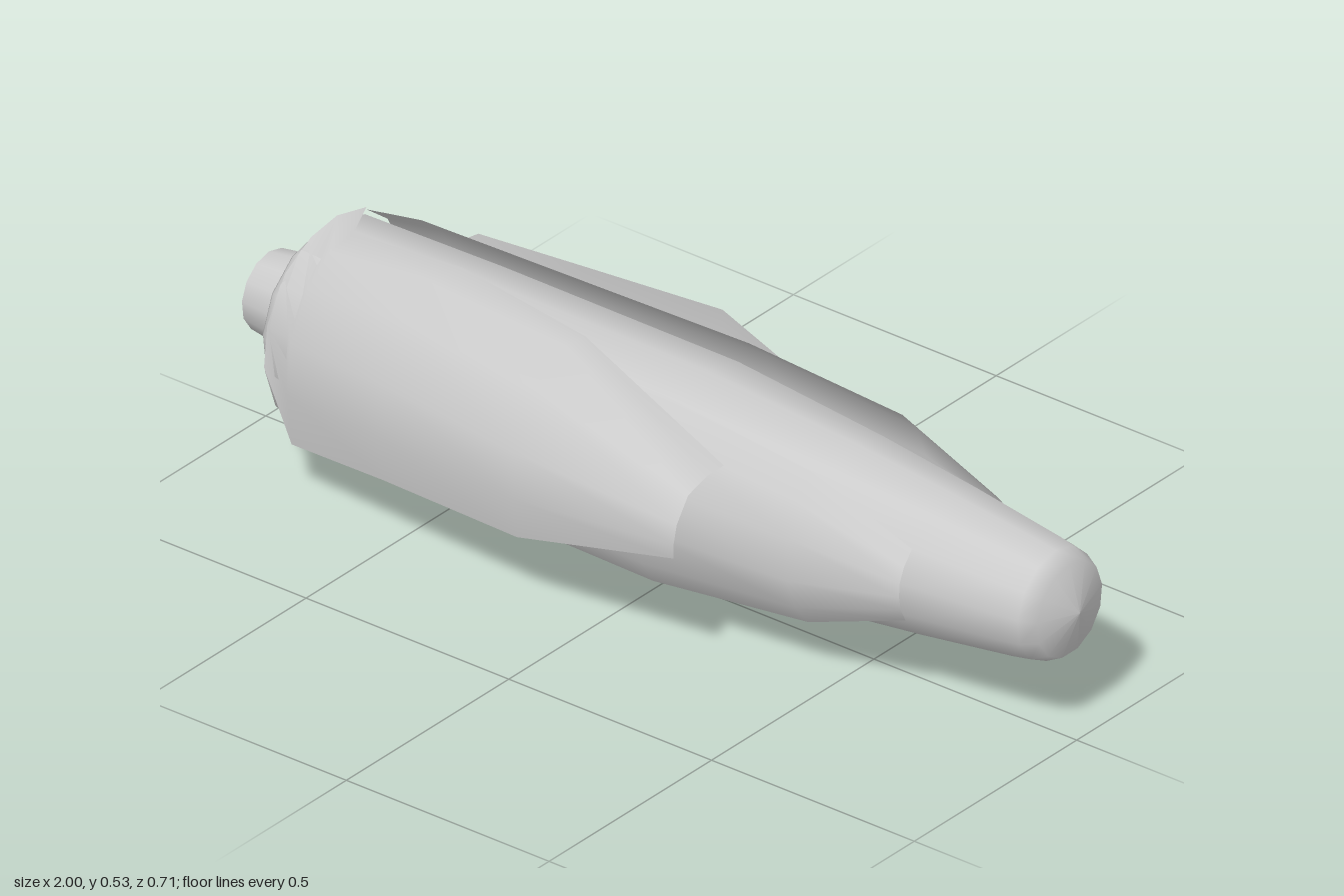
import * as THREE from 'three';

const CY = 0.28, CZ = -0.01; // long axis of the cob

export function createModel() {
  const group = new THREE.Group();
  const solid = new THREE.MeshStandardMaterial({ color: 0xcccccc });
  const thin = new THREE.MeshStandardMaterial({ color: 0xcccccc, side: THREE.DoubleSide });

  // Solid of revolution along x; profile is [x, radius]
  function revolve(name, profile) {
    const points = profile.map(([x, r]) => new THREE.Vector2(r, x));
    const geo = new THREE.LatheGeometry(points, 13, -Math.PI / 2, Math.PI * 2);
    geo.rotateZ(-Math.PI / 2);
    const mesh = new THREE.Mesh(geo, solid);
    mesh.name = name;
    mesh.position.set(0, CY, CZ);
    group.add(mesh);
  }

  // Thin leaf lofted through open cross-sections [x, [[z, y], ...]]
  function leaf(name, sections) {
    const pos = [], index = [], n = sections[0][1].length;
    sections.forEach(([x, pts]) => pts.forEach(([z, y]) => pos.push(x, y, z)));
    for (let i = 0; i < sections.length - 1; i++) {
      for (let j = 0; j < n - 1; j++) {
        const a = i * n + j, b = a + n;
        index.push(a, b, a + 1, b, b + 1, a + 1);
      }
    }
    const geo = new THREE.BufferGeometry();
    geo.setAttribute('position', new THREE.Float32BufferAttribute(pos, 3));
    geo.setIndex(index);
    geo.computeVertexNormals();
    const mesh = new THREE.Mesh(geo, thin);
    mesh.name = name;
    group.add(mesh);
  }

  // Cob and stalk
  revolve('cob', [[-0.88, 0], [-0.88, 0.17], [-0.875, 0.175], [-0.84, 0.205], [-0.5, 0.21], [0.08, 0.208],
    [0.45, 0.178], [0.69, 0.152], [0.9, 0.125], [0.94, 0.118], [0.975, 0.1], [1, 0]]);
  revolve('stalkEnd', [[-1, 0], [-1, 0.084]]);
  revolve('stalk', [[-1, 0.084], [-0.9, 0.098], [-0.87, 0.098]]);
  revolve('stalkCollar', [[-0.895, 0.095], [-0.893, 0.11], [-0.875, 0.112]]);

  // Inner husk leaves hugging both sides, top edge to bottom edge as [dz, dy]
  const inner = [
    [-0.84, [[0.1, 0.19], [0.165, 0.14], [0.205, 0.065], [0.212, -0.03], [0.18, -0.12], [0.14, -0.165]]],
    [-0.72, [[0.12, 0.2], [0.18, 0.15], [0.225, 0.07], [0.23, -0.03], [0.195, -0.13], [0.15, -0.18]]],
    [0.08, [[0.13, 0.21], [0.185, 0.16], [0.23, 0.07], [0.235, -0.03], [0.2, -0.13], [0.165, -0.185]]],
    [0.45, [[0.14, 0.18], [0.185, 0.13], [0.21, 0.06], [0.215, -0.03], [0.19, -0.1], [0.15, -0.15]]],
    [0.69, [[0.13, 0.09], [0.155, 0.06], [0.168, 0.03], [0.17, 0], [0.165, -0.03], [0.15, -0.06]]],
  ];
  for (const [name, s] of [['innerLeafFront', 1], ['innerLeafBack', -1]]) {
    leaf(name, inner.map(([x, pts]) => {
      const ring = pts.map(([dz, dy]) => [CZ + s * dz, CY + dy]);
      return [x, s > 0 ? ring.reverse() : ring];
    }));
  }

  // Outer leaf flaring over the front and top
  leaf('outerLeafFront', [
    [-0.84, [[0.205, 0.26], [0.195, 0.35], [0.14, 0.44], [0.06, 0.485], [-0.02, 0.497], [-0.11, 0.475]]],
    [-0.76, [[0.22, 0.125], [0.235, 0.24], [0.225, 0.35], [0.17, 0.45], [0.1, 0.5], [0.03, 0.508]]],
    [-0.5, [[0.265, 0.16], [0.28, 0.26], [0.265, 0.37], [0.2, 0.48], [0.11, 0.528], [0.02, 0.522]]],
    [-0.14, [[0.3, 0.178], [0.315, 0.27], [0.31, 0.37], [0.25, 0.485], [0.15, 0.535], [0.09, 0.53]]],
    [0.29, [[0.355, 0.31], [0.355, 0.34], [0.345, 0.38], [0.31, 0.43], [0.25, 0.447], [0.2, 0.447]]],
  ]);

  // Outer leaf flaring under the back and bottom
  leaf('outerLeafBack', [
    [-0.84, [[-0.226, 0.3], [-0.21, 0.2], [-0.16, 0.12], [-0.08, 0.075], [0.02, 0.065], [0.11, 0.1]]],
    [-0.7, [[-0.28, 0.39], [-0.285, 0.28], [-0.26, 0.16], [-0.2, 0.075], [-0.11, 0.035], [-0.015, 0.032]]],
    [-0.45, [[-0.31, 0.39], [-0.32, 0.28], [-0.3, 0.15], [-0.225, 0.05], [-0.14, 0.018], [-0.035, 0.028]]],
    [-0.15, [[-0.345, 0.39], [-0.355, 0.28], [-0.345, 0.14], [-0.255, 0.015], [-0.18, 0.005], [-0.12, 0.003]]],
    [0.23, [[-0.335, 0.25], [-0.33, 0.2], [-0.31, 0.145], [-0.24, 0.08], [-0.19, 0.077], [-0.15, 0.075]]],
  ]);

  return group;
}
